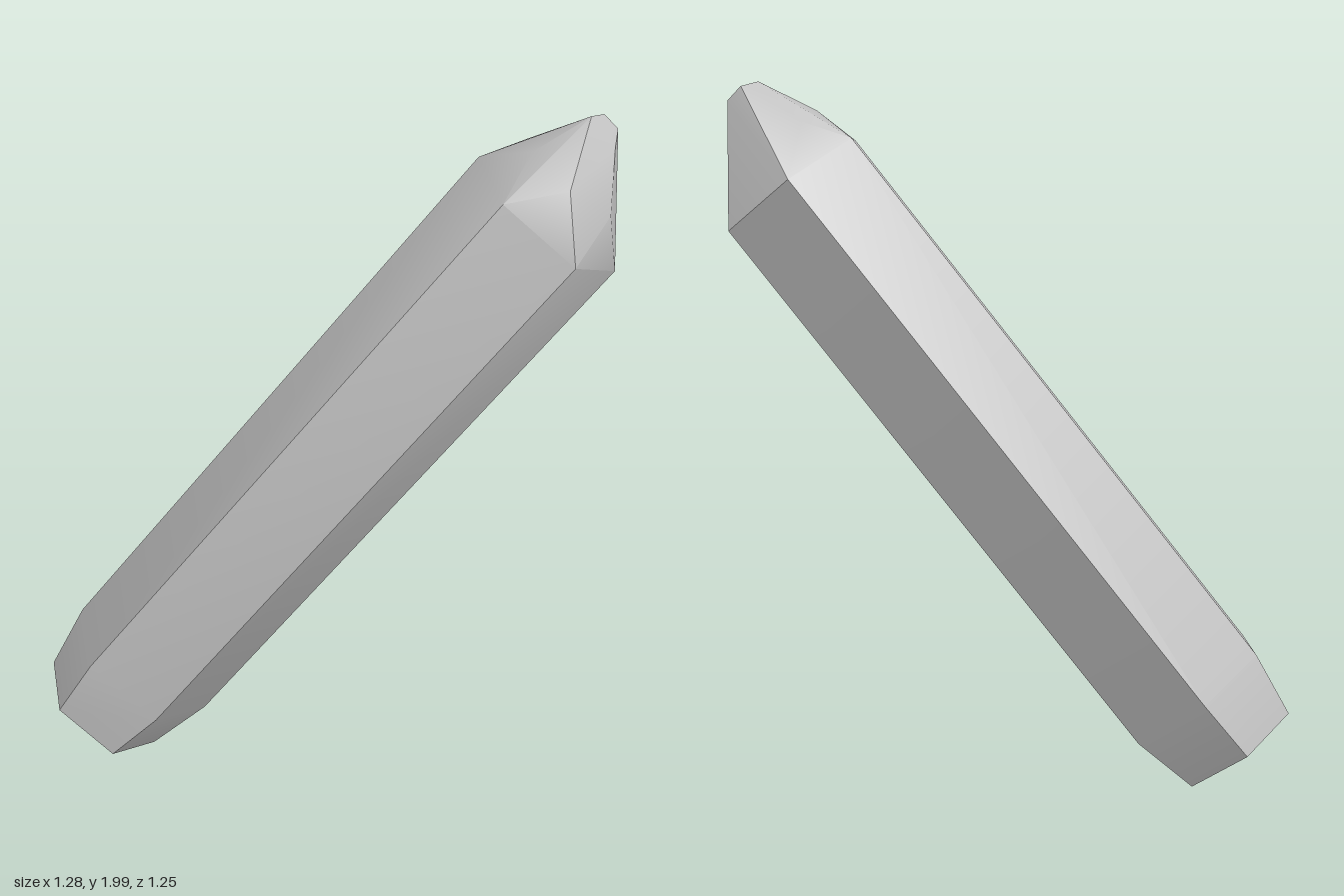
import * as THREE from 'three';
import { ConvexGeometry } from 'three/addons/geometries/ConvexGeometry.js';
import { toCreasedNormals } from 'three/addons/utils/BufferGeometryUtils.js';

const v = (x, y, z) => new THREE.Vector3(x, y, z);

// Half of the hexagonal cross-section; the other half is its point mirror
const half = [v(-0.18, 0.137, 0.068), v(0.005, 0.107, 0.222), v(0.19, -0.043, 0.152)];

function hexRing(centre, scale) {
  return [1, -1].flatMap((side) => half.map((p) => p.clone().multiplyScalar(scale * side).add(centre)));
}

export function createModel() {
  const stone = new THREE.MeshStandardMaterial({ color: 0xc0c0c0 });
  stone.name = 'grey stone';

  const points = [
    ...hexRing(v(-0.49, 0.125, 0.437), 0.83), // narrowed foot
    ...hexRing(v(-0.4, 0.283, 0.345), 1), // start of the shaft
    ...hexRing(v(0.443, 1.72, -0.41), 1), // shoulder under the tip
    // ridge on the front of the tip
    v(0.435, 1.92, -0.33),
    v(0.35, 1.9, -0.44),
    // cut facet on the side of the tip
    v(0.575, 1.86, -0.3),
    v(0.635, 1.77, -0.41),
    v(0.585, 1.92, -0.49),
    // crest
    v(0.525, 2.0, -0.46),
    v(0.53, 1.99, -0.515),
    v(0.56, 1.95, -0.54),
  ];

  // Sharp long edges, soft shading over the shallow bevels
  const crystal = new THREE.Mesh(toCreasedNormals(new ConvexGeometry(points), 0.6), stone);
  crystal.name = 'crystal';

  const group = new THREE.Group();
  group.name = 'crystalShard';
  group.add(crystal);
  return group;
}
